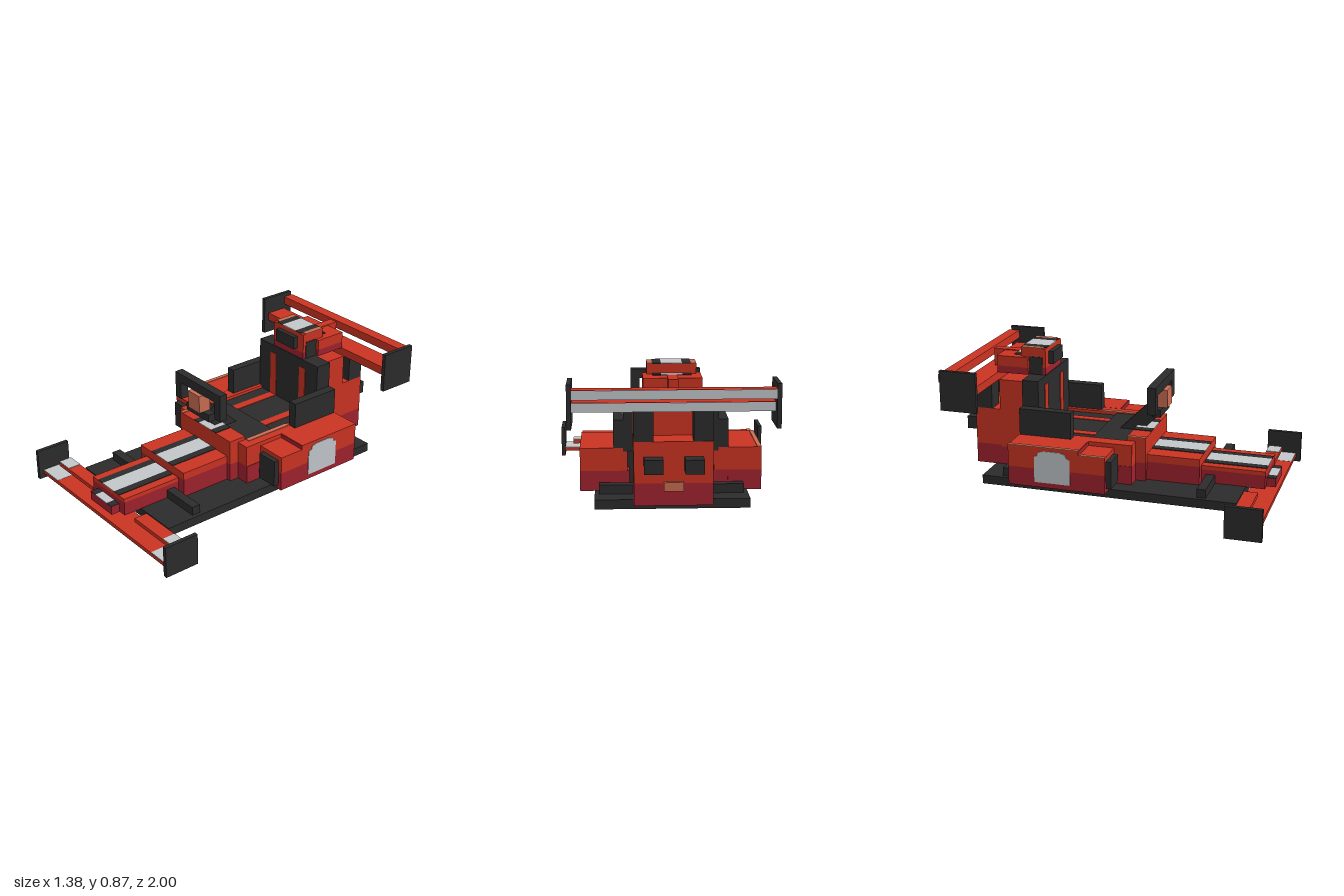
import * as THREE from 'three';

const mat = (name, color) => {
  const m = new THREE.MeshStandardMaterial({ color });
  m.name = name;
  return m;
};

export function createModel() {
  const red = mat('red', 0xcb3322);
  const crimson = mat('crimson', 0xa0222e);
  const charcoal = mat('charcoal', 0x2c2c2c);
  const silver = mat('silver', 0xc3c7cb);
  const copper = mat('copper', 0xc96d52);
  const model = new THREE.Group();

  // Box given by its limits on each axis
  const box = (name, m, x0, x1, y0, y1, z0, z1) => {
    const mesh = new THREE.Mesh(new THREE.BoxGeometry(x1 - x0, y1 - y0, z1 - z0), m);
    mesh.position.set((x0 + x1) / 2, (y0 + y1) / 2, (z0 + z1) / 2);
    mesh.name = name;
    model.add(mesh);
    return mesh;
  };
  const pair = (name, m, x0, x1, ...rest) => {
    box(name + 'Left', m, x0, x1, ...rest);
    box(name + 'Right', m, -x1, -x0, ...rest);
  };
  // Bodywork with a crimson lower half
  const body = (name, w, y0, split, y1, z0, z1) => {
    box(name + 'Lower', crimson, -w, w, y0, split, z0, z1);
    box(name, red, -w, w, split, y1, z0, z1);
  };
  // Racing stripes painted on a top surface
  const T = 0.004;
  const stripes = (name, y, z0, z1) => {
    box(name + 'Stripe', silver, -0.06, 0.06, y, y + T, z0, z1);
    pair(name + 'StripeEdge', charcoal, 0.06, 0.11, y, y + T, z0, z1);
  };

  // Floor and axle bars
  box('floor', charcoal, -0.44, 0.44, 0.06, 0.115, -0.79, 0.8);
  box('frontAxle', charcoal, -0.415, 0.415, 0.115, 0.168, 0.555, 0.61);
  box('rearAxle', charcoal, -0.415, 0.415, 0.115, 0.168, -0.665, -0.61);

  // Front wing
  box('frontWing', red, -0.5, 0.5, 0.034, 0.055, 0.8, 0.97);
  pair('frontWingTip', red, 0.5, 0.665, 0.034, 0.052, 0.8, 0.97);
  pair('frontWingTipPaint', silver, 0.5, 0.665, 0.052, 0.056, 0.8, 0.968);
  box('frontWingUnderside', crimson, -0.665, 0.665, 0.03, 0.034, 0.8, 0.97);
  pair('frontFlap', red, 0.22, 0.61, 0.085, 0.108, 0.8, 0.885);
  pair('frontFlapPaint', silver, 0.5, 0.61, 0.108, 0.112, 0.8, 0.884);
  pair('frontFlapUnderside', crimson, 0.22, 0.61, 0.082, 0.085, 0.8, 0.885);
  pair('frontEndplate', charcoal, 0.665, 0.69, 0, 0.197, 0.78, 1);

  // Nose, stepping up to the cockpit
  box('noseTip', crimson, -0.11, 0.11, 0.11, 0.163, 0.91, 0.97);
  stripes('noseTip', 0.163, 0.91, 0.97);
  body('nose', 0.165, 0.112, 0.197, 0.222, 0.52, 0.915);
  stripes('nose', 0.222, 0.53, 0.915);
  body('upperNose', 0.22, 0.113, 0.23, 0.277, 0.19, 0.525);
  stripes('upperNose', 0.277, 0.198, 0.525);
  body('dashboard', 0.25, 0.113, 0.23, 0.387, 0.08, 0.197);
  stripes('dashboard', 0.387, 0.08, 0.197);
  box('dashboardTrim', copper, -0.25, -0.225, 0.387, 0.391, 0.08, 0.195);

  // Cockpit sides and side pods
  for (const s of [1, -1]) {
    const sided = (name, m, x0, x1, ...r) =>
      s > 0 ? box(name + 'Left', m, x0, x1, ...r) : box(name + 'Right', m, -x1, -x0, ...r);
    sided('cockpitSideLower', crimson, 0.24, 0.335, 0.113, 0.23, -0.58, 0.135);
    sided('cockpitSide', red, 0.25, 0.332, 0.23, 0.364, -0.58, 0.135);
    sided('podLower', crimson, 0.33, 0.525, 0.113, 0.23, -0.582, 0.025);
    sided('podFront', red, 0.33, 0.525, 0.23, 0.338, -0.14, 0.025);
    sided('podRear', red, 0.33, 0.525, 0.23, 0.365, -0.582, -0.14);
    sided('podStep', crimson, 0.33, 0.525, 0.338, 0.363, -0.14, -0.137);
    sided('podIntake', charcoal, 0.36, 0.5, 0.14, 0.31, 0.025, 0.058);
    sided('cockpitFin', charcoal, 0.275, 0.332, 0.364, 0.53, -0.58, -0.25);

    // Notched side panel
    const shape = new THREE.Shape([
      [-0.112, 0.145], [0.112, 0.145], [0.112, 0.305], [0.09, 0.315], [0.085, 0.335],
      [0.05, 0.345], [-0.05, 0.345], [-0.085, 0.335], [-0.09, 0.315], [-0.112, 0.305],
    ].map(p => new THREE.Vector2(...p)));
    const panel = new THREE.Mesh(new THREE.ExtrudeGeometry(shape, { depth: 0.004, bevelEnabled: false }), silver);
    panel.name = s > 0 ? 'sidePanelLeft' : 'sidePanelRight';
    panel.position.set(s * 0.525, 0, -0.303);
    panel.rotation.y = s * Math.PI / 2;
    model.add(panel);
  }
  box('cockpitTrim', copper, 0.25, 0.28, 0.364, 0.368, -0.24, 0.075);
  box('podTrimFront', copper, -0.525, -0.5, 0.338, 0.342, -0.14, 0.025);
  box('podTrimRear', copper, -0.525, -0.5, 0.365, 0.369, -0.582, -0.14);

  // Seat
  box('seatFront', charcoal, -0.25, 0.25, 0.115, 0.36, -0.14, 0.08);
  box('seatBase', charcoal, -0.25, 0.25, 0.115, 0.345, -0.475, -0.14);
  pair('seatBaseStripe', red, 0.11, 0.165, 0.345, 0.349, -0.475, -0.14);
  box('seatBack', charcoal, -0.275, 0.275, 0.345, 0.693, -0.58, -0.475);
  pair('seatBackStripe', red, 0.11, 0.165, 0.349, 0.64, -0.475, -0.471);

  // Steering wheel and column
  box('wheelTop', charcoal, -0.22, 0.22, 0.64, 0.698, 0.197, 0.25);
  pair('wheelGrip', charcoal, 0.165, 0.22, 0.528, 0.64, 0.197, 0.25);
  box('wheelBottom', charcoal, -0.11, 0.11, 0.48, 0.528, 0.197, 0.25);
  box('wheelDisplay', copper, -0.055, 0.055, 0.528, 0.64, 0.197, 0.278);
  const column = box('steeringColumn', charcoal, -0.028, 0.028, -0.05, 0.05, -0.13, 0.13);
  column.position.set(0, 0.405, 0.085);
  column.rotation.x = -Math.PI / 4;

  // Air box above the seat
  box('airbox', red, -0.14, 0.14, 0.74, 0.862, -0.635, -0.475);
  box('airboxLower', crimson, -0.14, 0.14, 0.697, 0.74, -0.635, -0.475);
  box('airIntake', charcoal, -0.085, 0.085, 0.755, 0.835, -0.475, -0.443);
  stripes('airbox', 0.862, -0.635, -0.475);
  pair('airboxTrim', copper, 0.11, 0.14, 0.862, 0.866, -0.635, -0.495);
  pair('airboxBand', charcoal, 0.14, 0.144, 0.697, 0.808, -0.58, -0.495);
  body('airboxTail', 0.165, 0.697, 0.74, 0.805, -0.785, -0.58);
  stripes('airboxTail', 0.805, -0.69, -0.635);
  box('wingSpine', red, -0.028, 0.028, 0.7, 0.81, -0.86, -0.69);

  // Engine cover and tail
  body('engineCover', 0.22, 0.113, 0.23, 0.668, -0.752, -0.578);
  body('tail', 0.22, 0.113, 0.24, 0.475, -0.915, -0.75);
  pair('exhaust', charcoal, 0.06, 0.165, 0.31, 0.39, -1, -0.915);
  box('tailLamp', copper, -0.055, 0.055, 0.2, 0.25, -0.94, -0.915);

  // Rear wing
  const wing = (name, y0, y1, z0, z1) => {
    box(name, red, -0.557, 0.557, y0 + 0.004, y1, z0 + 0.004, z1);
    box(name + 'Underside', crimson, -0.557, 0.557, y0, y0 + 0.004, z0 + 0.004, z1);
    box(name + 'RearStripe', silver, -0.557, 0.557, y0, y1 - 0.002, z0, z0 + 0.004);
  };
  wing('rearWingUpper', 0.725, 0.778, -1, -0.925);
  wing('rearWingLower', 0.643, 0.695, -0.925, -0.785);
  pair('rearEndplate', charcoal, 0.557, 0.582, 0.558, 0.805, -0.982, -0.75);
  pair('wingPost', charcoal, 0.11, 0.22, 0.475, 0.645, -0.912, -0.805);

  return model;
}
